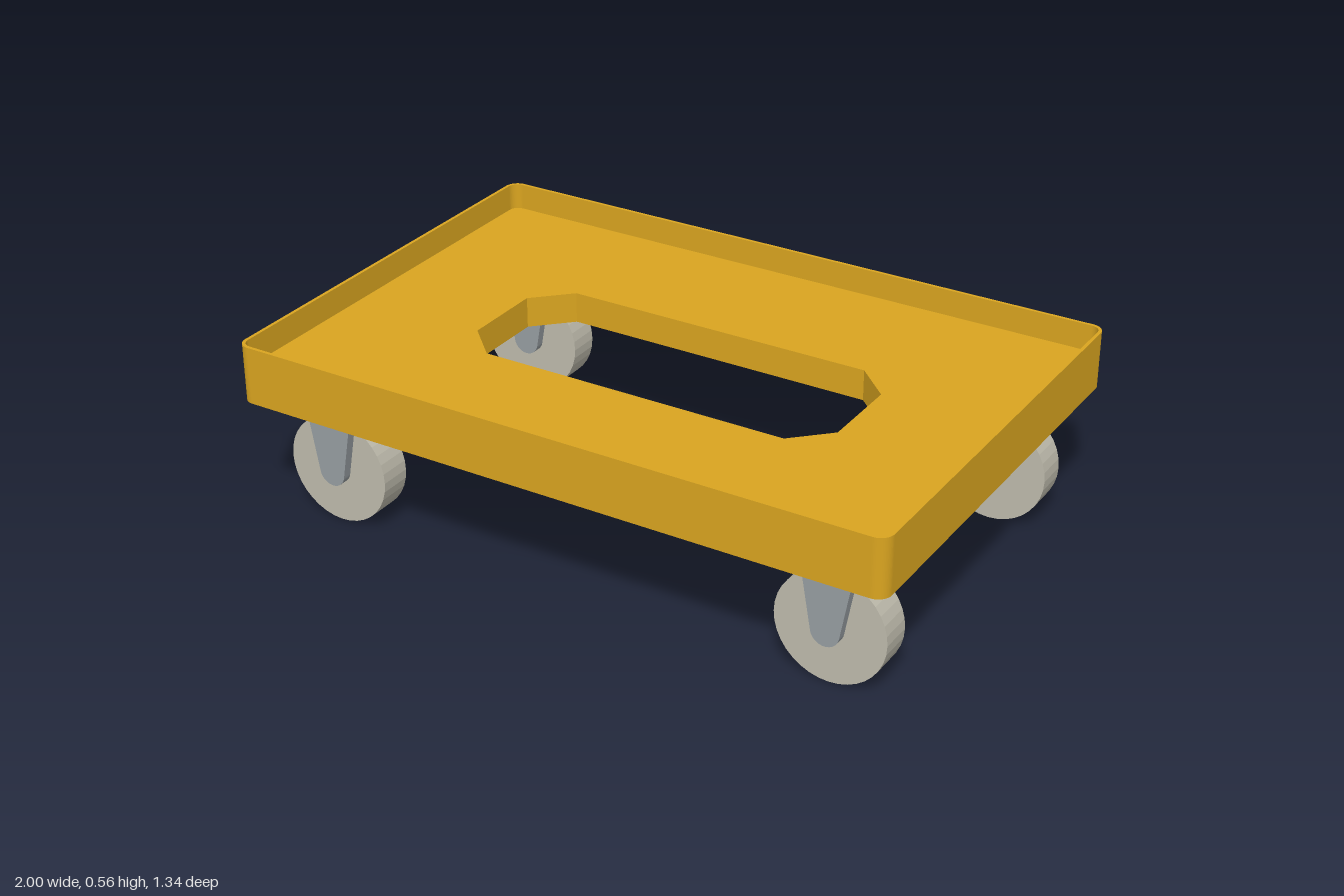
import * as THREE from 'three';

const yellow = new THREE.MeshStandardMaterial({ name: 'goldenPlastic', color: 0xdaa520 });
const steel = new THREE.MeshStandardMaterial({ name: 'greySteel', color: 0x979ea2 });
const rubber = new THREE.MeshStandardMaterial({ name: 'paleRubber', color: 0xbfbcad, flatShading: true });

function mesh(name, geometry, material, x = 0, y = 0, z = 0) {
  const m = new THREE.Mesh(geometry, material);
  m.name = name;
  m.position.set(x, y, z);
  return m;
}

// Rounded rectangle outline, given half sizes and corner radius
function roundedRect(Type, w, d, r) {
  const s = new Type();
  s.absarc(w - r, d - r, r, 0, Math.PI / 2);
  s.absarc(-w + r, d - r, r, Math.PI / 2, Math.PI);
  s.absarc(-w + r, -d + r, r, Math.PI, Math.PI * 1.5);
  s.absarc(w - r, -d + r, r, Math.PI * 1.5, Math.PI * 2);
  s.closePath();
  return s;
}

// Extrude a plan outline upwards from y0 to y1
function slab(shape, y0, y1) {
  return new THREE.ExtrudeGeometry(shape, { depth: y1 - y0, bevelEnabled: false, curveSegments: 8 })
    .rotateX(-Math.PI / 2).translate(0, y0, 0);
}

function createDeck() {
  const deck = new THREE.Group();
  deck.name = 'deck';

  // Floor with an octagonal opening
  const floor = roundedRect(THREE.Shape, 1, 0.67, 0.04);
  const hole = [[0.58, 0.125], [0.475, 0.228], [-0.475, 0.228], [-0.58, 0.125],
    [-0.58, -0.125], [-0.475, -0.228], [0.475, -0.228], [0.58, -0.125]];
  floor.holes.push(new THREE.Path(hole.map(([x, y]) => new THREE.Vector2(x, y))));
  deck.add(mesh('deckFloor', slab(floor, 0.387, 0.48), yellow));

  // Thin raised rim
  const rim = roundedRect(THREE.Shape, 1, 0.67, 0.04);
  rim.holes.push(roundedRect(THREE.Path, 0.99, 0.66, 0.03));
  deck.add(mesh('deckRim', slab(rim, 0.48, 0.56), yellow));
  return deck;
}

function createCaster() {
  const caster = new THREE.Group();
  caster.name = 'caster';
  caster.add(mesh('mountingPlate', new THREE.BoxGeometry(0.198, 0.028, 0.184), steel, 0, 0.373, 0));

  // Tapered fork cheeks with a rounded foot
  const cheek = new THREE.Shape();
  cheek.moveTo(0.077, 0.36);
  cheek.lineTo(-0.077, 0.36);
  cheek.absarc(0, 0.167, 0.042, Math.PI * 1.05, Math.PI * 1.95);
  cheek.closePath();
  const cheekGeometry = new THREE.ExtrudeGeometry(cheek, { depth: 0.028, bevelEnabled: false, curveSegments: 12 });
  caster.add(mesh('forkFront', cheekGeometry, steel, 0, 0, 0.05));
  caster.add(mesh('forkBack', cheekGeometry, steel, 0, 0, -0.078));

  const wheel = new THREE.CylinderGeometry(0.163, 0.163, 0.098, 36).rotateX(Math.PI / 2);
  caster.add(mesh('wheel', wheel, rubber, 0, 0.164, 0));
  return caster;
}

export function createModel() {
  const model = new THREE.Group();
  model.name = 'wheeledDolly';
  model.add(createDeck());
  for (const x of [-0.785, 0.785]) {
    for (const z of [-0.483, 0.483]) {
      const caster = createCaster();
      caster.position.set(x, 0, z);
      model.add(caster);
    }
  }
  return model;
}
